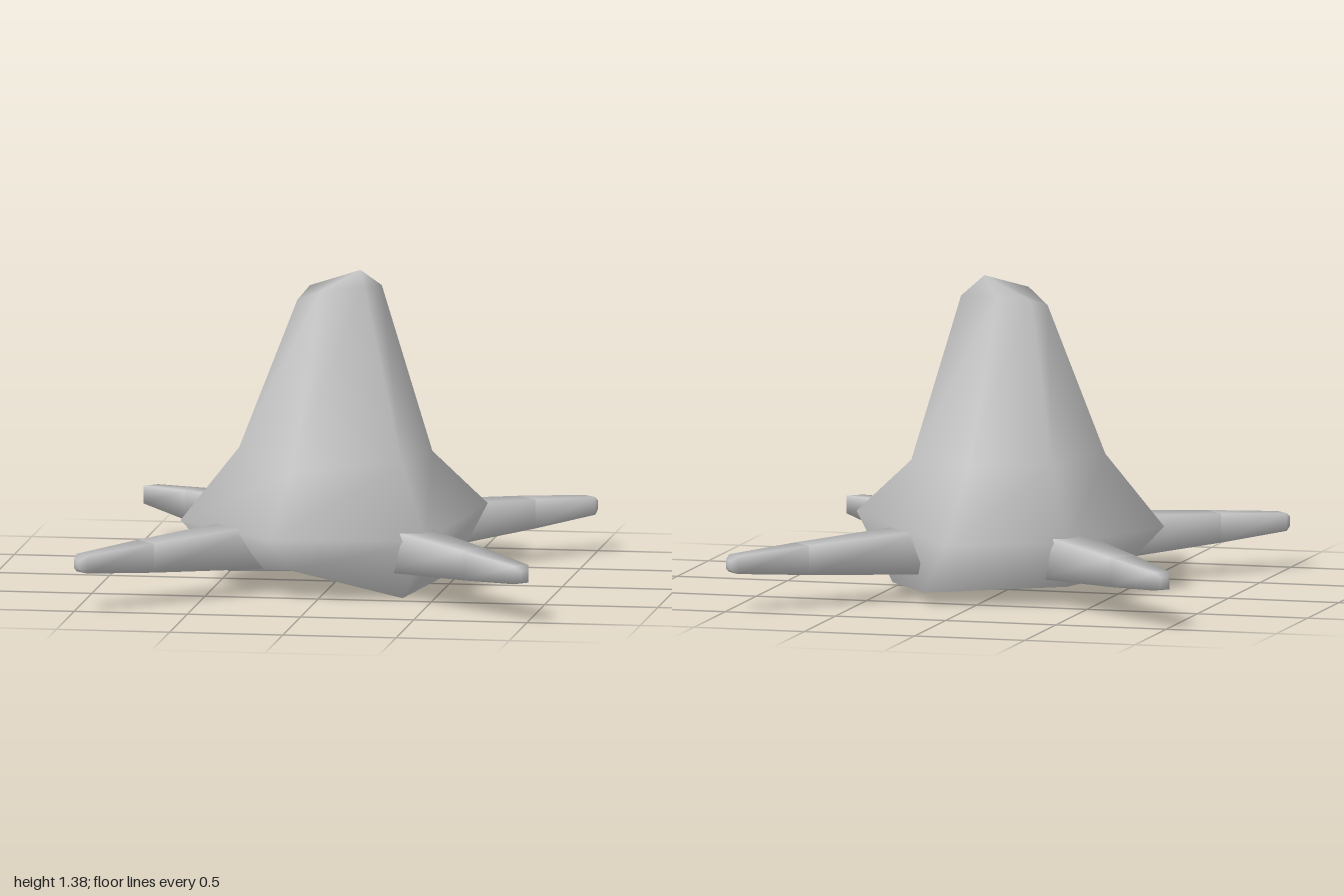
import * as THREE from 'three';

const grey = new THREE.MeshStandardMaterial({ color: 0xc6c6c6 });
grey.name = 'light grey';

// Six-cornered sections of the body, from foot to crown (x, y, z)
const sections = [
  [[0.23, 0.05, -0.54], [0.49, 0.03, -0.12], [0.36, 0, 0.42], [-0.12, 0.13, 0.54], [-0.45, 0.06, 0.17], [-0.38, 0.08, -0.39]],
  [[0.09, 0.28, -0.68], [0.65, 0.34, -0.13], [0.47, 0.26, 0.47], [-0.19, 0.28, 0.65], [-0.66, 0.28, 0.17], [-0.40, 0.28, -0.44]],
  [[0.05, 0.6, -0.45], [0.41, 0.57, -0.10], [0.34, 0.58, 0.32], [-0.12, 0.56, 0.48], [-0.41, 0.6, 0.11], [-0.29, 0.6, -0.31]],
  [[0, 1.31, -0.17], [0.19, 1.30, -0.08], [0.14, 1.32, 0.1], [-0.04, 1.31, 0.19], [-0.16, 1.25, 0.07], [-0.13, 1.29, -0.09]],
];

function geometryFrom(points, index) {
  const g = new THREE.BufferGeometry();
  g.setAttribute('position', new THREE.Float32BufferAttribute(points.flat(), 3));
  g.setIndex(index);
  g.computeVertexNormals();
  return g;
}

function addMesh(parent, geometry, name) {
  const mesh = new THREE.Mesh(geometry, grey);
  mesh.name = name;
  parent.add(mesh);
}

// Smooth body skin, closed by one off-centre peak
function bodyGeometry() {
  const points = [...sections.flat(), [0.11, 1.38, 0.01]];
  const index = [];
  for (let r = 0; r < 4; r++) {
    for (let i = 0; i < 6; i++) {
      const a = r * 6 + i, b = r * 6 + (i + 1) % 6;
      if (r < 3) index.push(a, a + 6, b, b, a + 6, b + 6);
      else index.push(a, 24, b);
    }
  }
  return geometryFrom(points, index);
}

// Underside with a hard rim
function undersideGeometry() {
  const index = [];
  for (let i = 0; i < 6; i++) index.push(i, (i + 1) % 6, 6);
  return geometryFrom([...sections[0], [0.02, 0.05, 0.02]], index);
}

// Soft-shaded square bar along +x, from [distance, half width] pairs
function legPiece(profile) {
  const points = profile.map(([d, half]) => new THREE.Vector2(half * Math.SQRT2, d));
  const g = new THREE.LatheGeometry(points, 4, Math.PI / 4);
  g.rotateZ(-Math.PI / 2);
  return g;
}

export function createModel() {
  const model = new THREE.Group();
  model.name = 'fourLeggedCone';
  addMesh(model, bodyGeometry(), 'body');
  addMesh(model, undersideGeometry(), 'underside');

  // Four legs on the diagonals, each of two closed pieces
  const upper = legPiece([[0.46, 0], [0.46, 0.097], [1.03, 0.064], [1.03, 0]]);
  const tip = legPiece([[1.03, 0], [1.03, 0.064], [1.372, 0.039], [1.4, 0.02], [1.4, 0]]);
  for (let i = 0; i < 4; i++) {
    const leg = new THREE.Group();
    leg.name = 'leg' + (i + 1);
    leg.position.y = 0.207;
    leg.rotation.y = Math.PI / 4 + i * Math.PI / 2;
    addMesh(leg, upper, 'upperLeg');
    addMesh(leg, tip, 'legTip');
    model.add(leg);
  }
  return model;
}
